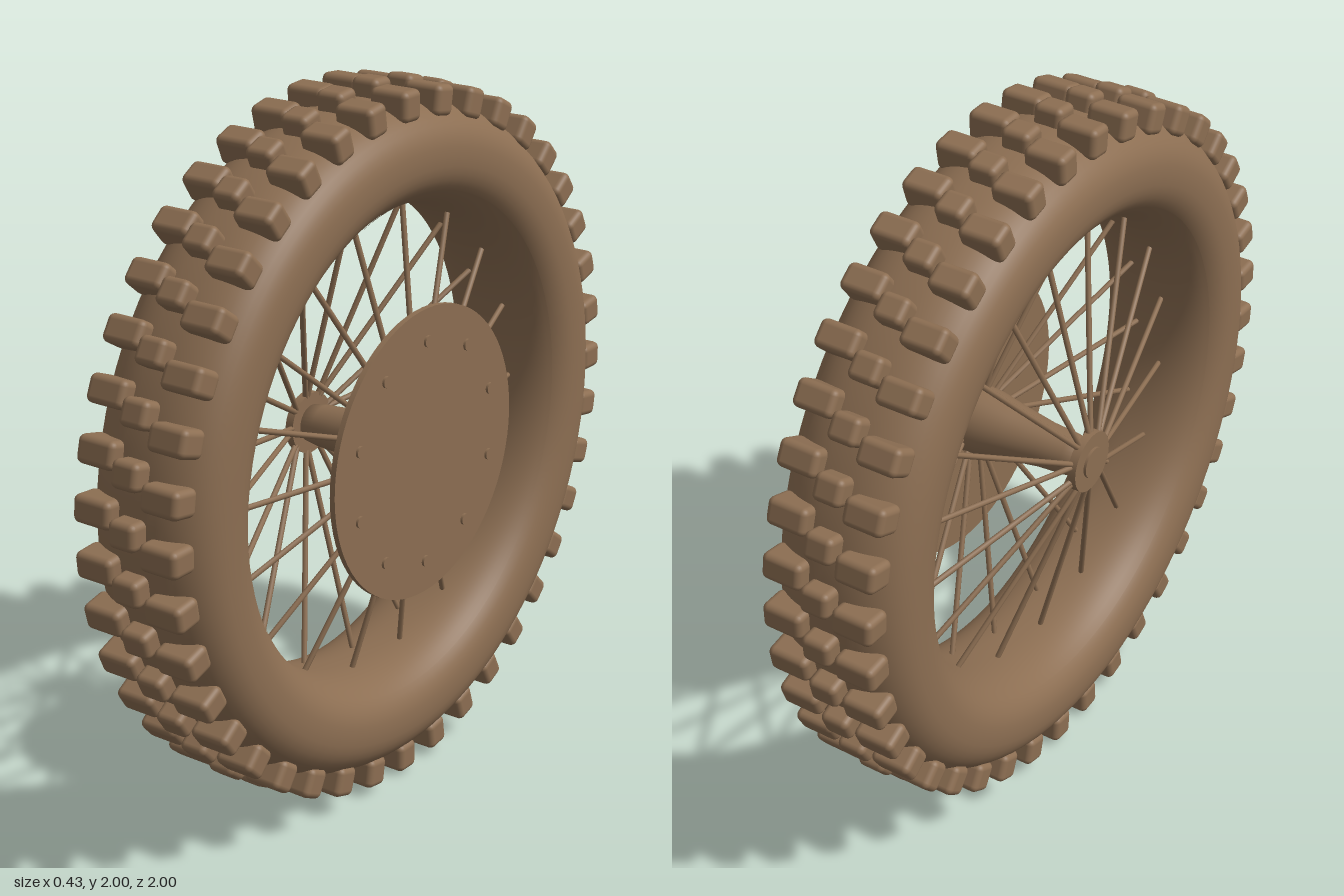
import * as THREE from 'three';
import { RoundedBoxGeometry } from 'three/addons/geometries/RoundedBoxGeometry.js';

export function createModel() {
  const model = new THREE.Group();
  model.name = 'spokedWheel';
  const brown = new THREE.MeshStandardMaterial({ color: 0x8c6e52 });
  brown.name = 'brown';

  // Wheel is built about its axle (the x axis), then lifted to stand on the ground
  const wheel = new THREE.Group();
  wheel.name = 'wheel';
  wheel.position.y = 1;
  model.add(wheel);

  const add = (geometry, name, parent = wheel) => {
    const mesh = new THREE.Mesh(geometry, brown);
    mesh.name = name;
    parent.add(mesh);
    return mesh;
  };
  const group = (name) => {
    const g = new THREE.Group();
    g.name = name;
    wheel.add(g);
    return g;
  };
  // Profile points are [radius, x]
  const lathe = (points, segments, name) =>
    add(new THREE.LatheGeometry(points.map(([r, x]) => new THREE.Vector2(r, x)), segments)
      .rotateZ(-Math.PI / 2), name);

  // Squarish oval cross-section shared by tyre and rim
  const section = (from, to, steps, grow = 0) => {
    const power = (v) => Math.sign(v) * Math.abs(v) ** (2 / 2.4);
    return Array.from({ length: steps + 1 }, (_, i) => {
      const t = from + (to - from) * i / steps;
      return [0.805 + (0.145 + grow) * power(Math.cos(t)),
        -0.005 + (0.2 + grow) * power(Math.sin(t))];
    });
  };
  lathe(section(-Math.PI, Math.PI, 48), 96, 'tyre');
  lathe(section(Math.PI * 0.7, Math.PI * 1.3, 20, 0.002), 96, 'rim');

  // Tread: three staggered rows of rounded blocks
  const rows = [
    { name: 'rightTread', x: -0.115, width: 0.12, top: 0.99, phase: 4.5 },
    { name: 'centreTread', x: -0.008, width: 0.085, top: 1.0, phase: 2.5 },
    { name: 'leftTread', x: 0.1, width: 0.12, top: 0.99, phase: 0 },
  ];
  for (const row of rows) {
    const tread = group(row.name);
    const depth = 0.085;
    const block = new RoundedBoxGeometry(row.width, 0.076, depth, 3, 0.018);
    block.translate(row.x, 0, row.top - depth / 2);
    for (let i = 0; i < 40; i++) {
      const mesh = add(block, 'treadBlock', tread);
      mesh.rotation.x = -THREE.MathUtils.degToRad(row.phase + i * 9);
    }
  }

  // Hub: flange on the right, narrow waist, flaring towards the disc
  lathe([[0, -0.2], [0.05, -0.2], [0.06, -0.14], [0.065, -0.06], [0.08, 0.04],
    [0.095, 0.12], [0.1, 0.195]], 32, 'hub');
  const flange = add(new THREE.CylinderGeometry(0.088, 0.088, 0.025, 32), 'hubFlange');
  flange.rotation.z = Math.PI / 2;
  flange.position.x = -0.195;
  const cap = add(new THREE.CylinderGeometry(0.045, 0.045, 0.014, 24), 'axleCap');
  cap.rotation.z = Math.PI / 2;
  cap.position.x = -0.208;

  // Disc with a ring of ten bolts
  const disc = add(new THREE.CylinderGeometry(0.412, 0.412, 0.016, 72), 'disc');
  disc.rotation.z = Math.PI / 2;
  disc.position.x = 0.2;
  const bolts = group('discBolts');
  for (let i = 0; i < 10; i++) {
    const a = i * Math.PI / 5;
    const bolt = add(new THREE.CylinderGeometry(0.016, 0.016, 0.01, 16), 'bolt', bolts);
    bolt.rotation.z = Math.PI / 2;
    bolt.position.set(0.21, 0.32 * Math.cos(a), 0.32 * Math.sin(a));
  }

  // Spokes alternate between the two ends of the hub
  const spokes = group('spokes');
  const up = new THREE.Vector3(0, 1, 0);
  for (let i = 0; i < 36; i++) {
    const a = i * Math.PI / 18;
    const side = i % 2 ? 1 : -1;
    const lean = (i % 4 < 2 ? 1 : -1) * 0.12;
    const start = new THREE.Vector3(side > 0 ? 0.16 : -0.19,
      0.08 * Math.cos(a + lean), 0.08 * Math.sin(a + lean));
    const end = new THREE.Vector3(side * 0.04, 0.67 * Math.cos(a), 0.67 * Math.sin(a));
    const along = end.clone().sub(start);
    const spoke = add(new THREE.CylinderGeometry(0.008, 0.008, along.length(), 8), 'spoke', spokes);
    spoke.position.copy(start).add(end).multiplyScalar(0.5);
    spoke.quaternion.setFromUnitVectors(up, along.normalize());
  }

  return model;
}
